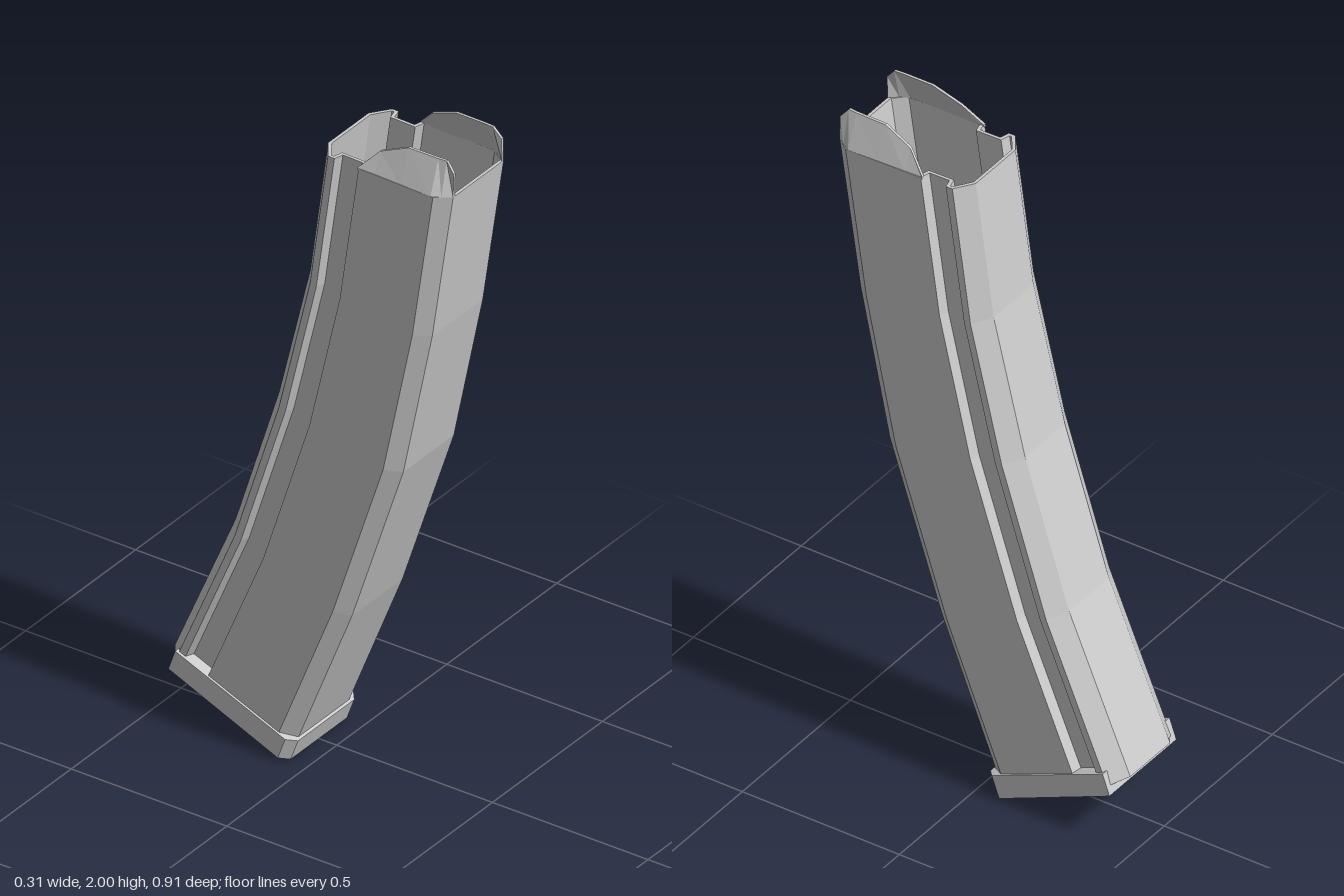
import * as THREE from 'three';

const material = new THREE.MeshStandardMaterial({ color: 0xcccccc, flatShading: true });

// Skins a list of equally long closed rings of [x, y, z] points.
function loft(name, rings) {
  const pos = [];
  const same = (p, q) => p.every((v, k) => Math.abs(v - q[k]) < 1e-6);
  const tri = (p, q, r) => {
    if (!same(p, q) && !same(q, r) && !same(p, r)) pos.push(...p, ...q, ...r);
  };
  for (let i = 0; i + 1 < rings.length; i++) {
    const n = rings[i].length;
    for (let j = 0; j < n; j++) {
      const k = (j + 1) % n;
      tri(rings[i][j], rings[i][k], rings[i + 1][k]);
      tri(rings[i][j], rings[i + 1][k], rings[i + 1][j]);
    }
  }
  const geometry = new THREE.BufferGeometry();
  geometry.setAttribute('position', new THREE.Float32BufferAttribute(pos, 3));
  geometry.computeVertexNormals();
  const mesh = new THREE.Mesh(geometry, material);
  mesh.name = name;
  return mesh;
}

// Places a half section of [x, t] on a station; t runs from its front to its back.
function section(half, [fz, fy, bz, by]) {
  const at = ([x, t]) => [x, fy + (by - fy) * t, fz + (bz - fz) * t];
  const mirrored = half.map(([x, t]) => [-x, t]).reverse();
  return [...half, ...mirrored].map(at);
}

// Ring shrunk to one centre-line point, which closes an end.
const hub = (count, station, t) => section(Array(count / 2).fill([0, t]), station);

// Stations from bottom to top: front z, front y, back z, back y.
const stations = [
  [-0.053, 0.04, -0.455, 0.195],
  [0.13, 0.5, -0.26, 0.65],
  [0.295, 1.0, -0.12, 1.09],
  [0.388, 1.45, -0.02, 1.5],
  [0.455, 1.9, 0.037, 1.91],
];

// Wall sections with chamfered corners and a groove along each side.
const outer = [[0.115, 0], [0.148, 0.1], [0.148, 0.672], [0.118, 0.69],
  [0.118, 0.842], [0.146, 0.86], [0.146, 0.91], [0.092, 1]];
const inner = [[0.111, 0.022], [0.139, 0.11], [0.139, 0.652], [0.109, 0.67],
  [0.109, 0.862], [0.137, 0.88], [0.137, 0.897], [0.088, 0.978]];

// Curved hollow body: outside up, over the rim, inside down to the floor.
function makeBody() {
  const floor = stations[0].map((v, i) => v + (stations[1][i] - v) * 0.08);
  const inside = [floor, ...stations.slice(1)].reverse();
  const count = outer.length * 2;
  return loft('curvedBody', [
    hub(count, stations[0], 0.77),
    ...stations.map((s) => section(outer, s)),
    ...inside.map((s) => section(inner, s)),
    hub(count, floor, 0.77),
  ]);
}

// Thin lip leaning inwards above one side wall; columns run from back to front.
function makeLip(name, side) {
  // z, top y, base x, top x
  const columns = [
    [0.17, 1.908, 0.148, 0.147],
    [0.225, 1.965, 0.148, 0.122],
    [0.31, 2.0, 0.148, 0.112],
    [0.405, 2.0, 0.148, 0.111],
    [0.43, 2.0, 0.134, 0.109],
    [0.455, 1.97, 0.115, 0.113],
  ];
  const wall = 0.008;
  const rings = columns.map(([z, y, base, top]) => {
    const ring = [[base, 1.9, z], [top, y, z], [top - wall, y, z], [base - wall, 1.9, z]];
    const placed = ring.map(([x, h, d]) => [side * x, h, d]);
    return side > 0 ? placed : placed.reverse();
  });
  const cap = (ring) => {
    const mid = [0, 1, 2].map((k) => ring.reduce((sum, p) => sum + p[k] / 4, 0));
    return ring.map(() => mid);
  };
  return loft(name, [cap(rings[0]), ...rings, cap(rings[rings.length - 1])]);
}

// Slanted base plate with chamfered front corners.
function makeBasePlate() {
  const half = [[0.128, 0], [0.155, 0.06], [0.155, 1]];
  const low = [-0.058, 0, -0.432, 0.16];
  const high = [-0.034, 0.065, -0.41, 0.222];
  return loft('basePlate', [hub(6, low, 0.5), section(half, low), section(half, high), hub(6, high, 0.5)]);
}

export function createModel() {
  const model = new THREE.Group();
  model.name = 'curvedMagazine';
  model.add(makeBody(), makeLip('leftLip', 1), makeLip('rightLip', -1), makeBasePlate());
  return model;
}
